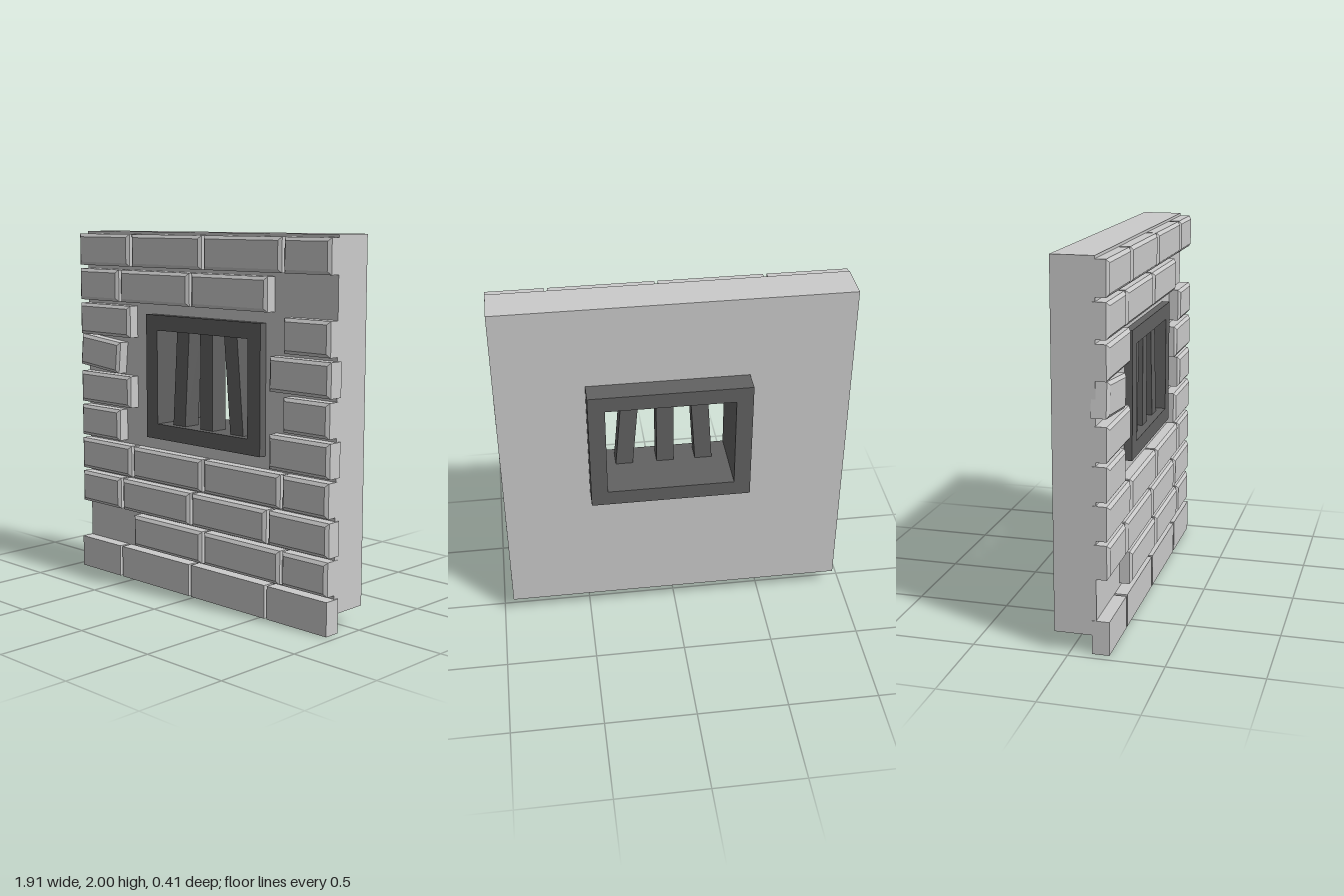
import * as THREE from 'three';

const stone = new THREE.MeshStandardMaterial({ color: 0xcccccc, flatShading: true });
const iron = new THREE.MeshStandardMaterial({ color: 0x626262, flatShading: true });

const rect = (C, x0, x1, y0, y1) => new C([[x0, y0], [x1, y0], [x1, y1], [x0, y1]].map(p => new THREE.Vector2(...p)));

// Rectangular plate with a rectangular hole, from z0 to z1
function plate(name, outer, hole, z0, z1, material) {
  const shape = rect(THREE.Shape, ...outer);
  shape.holes.push(rect(THREE.Path, ...hole));
  const geo = new THREE.ExtrudeGeometry(shape, { depth: z1 - z0, bevelEnabled: false });
  const mesh = new THREE.Mesh(geo.translate(0, 0, z0), material);
  mesh.name = name;
  return mesh;
}

// Box whose front edges are chamfered
function brick(w, h, bevel) {
  const d = 0.09, inset = 0.018, drop = 0.013;
  const geo = new THREE.BoxGeometry(w, h, d, 1, 1, bevel ? 2 : 1);
  const p = geo.attributes.position;
  for (let i = 0; bevel && i < p.count; i++) {
    const z = p.getZ(i);
    if (Math.abs(z) < 1e-6) p.setZ(i, d / 2 - drop);
    else if (z > 0) {
      p.setX(i, p.getX(i) - Math.sign(p.getX(i)) * inset);
      p.setY(i, p.getY(i) - Math.sign(p.getY(i)) * inset);
    }
  }
  const flat = geo.toNonIndexed();
  flat.computeVertexNormals();
  const mesh = new THREE.Mesh(flat, stone);
  mesh.name = 'brick';
  return mesh;
}

export function createModel() {
  const group = new THREE.Group();
  const opening = [-0.4, 0.47, 0.85, 1.545];

  // Wall slab and the window frame running through it
  group.add(plate('wall', [-0.95, 0.945, 0.1, 2], opening, -0.083, 0.137, stone));
  group.add(plate('windowFrame', opening, [-0.31, 0.38, 0.935, 1.46], -0.205, 0.18, iron));

  // Window bars: bottom x and top x, the outer two lean inwards
  for (const [xb, xt] of [[-0.177, -0.142], [0.038, 0.038], [0.267, 0.218]]) {
    const geo = new THREE.BoxGeometry(0.095, 0.545, 0.1);
    const p = geo.attributes.position;
    for (let i = 0; i < p.count; i++) p.setX(i, p.getX(i) + (p.getY(i) > 0 ? xt : xb));
    const bar = new THREE.Mesh(geo, iron);
    bar.position.set(0, 1.1975, 0.09);
    bar.name = 'windowBar';
    group.add(bar);
  }

  // Brick courses: two alternating layouts, some bricks missing
  const even = [[-0.953, -0.615], [-0.595, -0.04], [-0.022, 0.53], [0.548, 0.953]];
  const odd = [[-0.953, -0.52], [-0.5, 0.055], [0.072, 0.626], [0.643, 0.947]];
  const present = ['0123', '123', '0123', '0123', '03', '03', '03', '03', '012', '0123'];
  const bricks = new THREE.Group();
  bricks.name = 'bricks';
  present.forEach((list, row) => {
    for (const k of list) {
      const [x0, x1] = (row % 2 ? odd : even)[k];
      const b = brick(x1 - x0, 0.18, row > 0);
      b.position.set((x0 + x1) / 2, 0.09 + row * 0.2006, 0.16);
      // One loose brick
      if (row === 6 && k === '0') {
        b.rotation.z = -0.095;
        b.position.set(-0.782, 1.298, 0.16);
        b.name = 'looseBrick';
      }
      bricks.add(b);
    }
  });
  group.add(bricks);
  return group;
}
